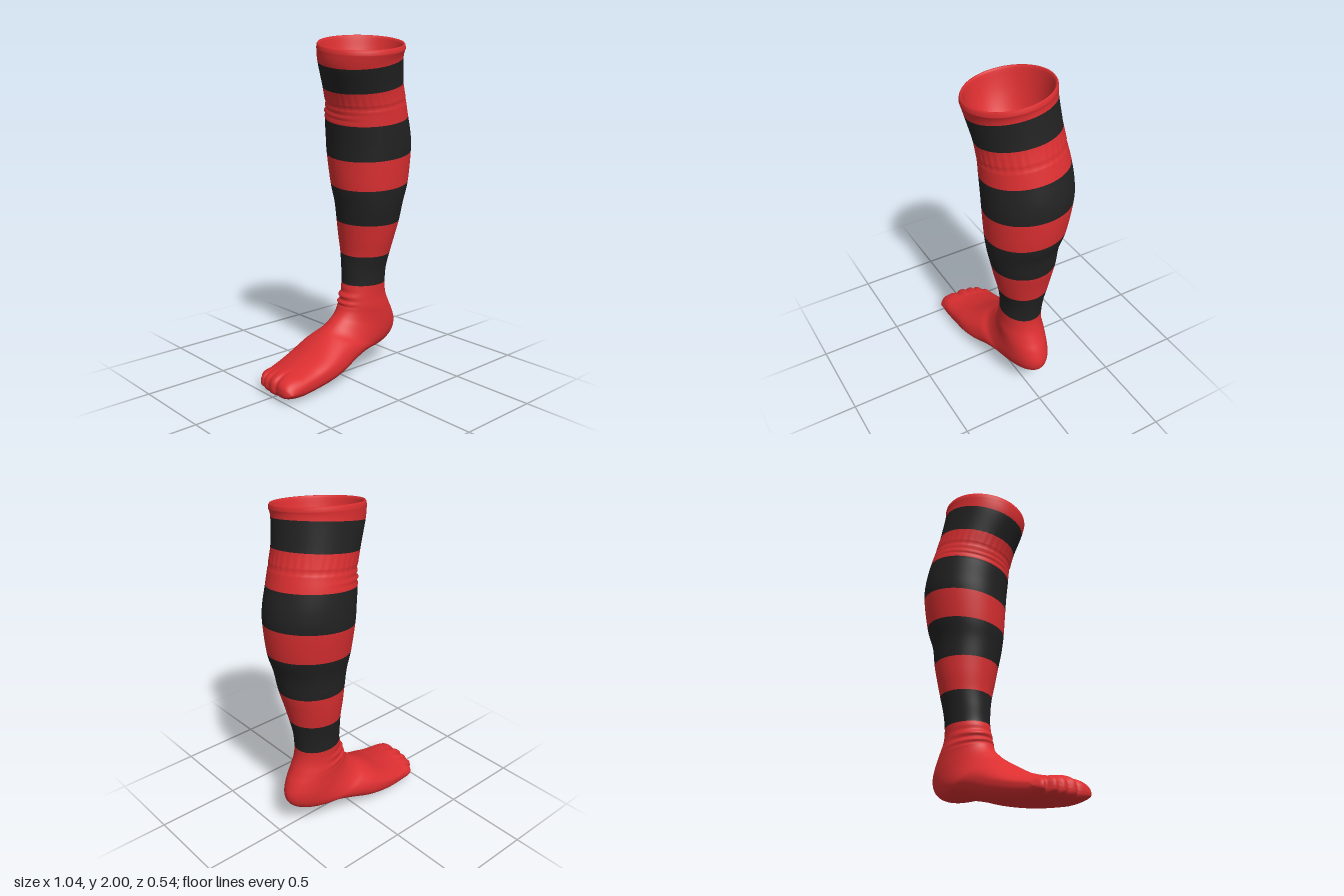
import * as THREE from 'three';

const SEGMENTS = 144, STEPS = 8, TAU = Math.PI * 2;

// Cross-sections: front x, y, back x, y, z min, z max, drop from -z to +z
const LEG = [
  [-0.118, 1.905, 0.405, 1.960, -0.215, 0.270, 0.075],
  [-0.106, 1.825, 0.403, 1.920, -0.215, 0.250, 0.080],
  [-0.050, 1.685, 0.425, 1.768, -0.230, 0.225, 0.060],
  [-0.020, 1.590, 0.455, 1.660, -0.243, 0.220, 0.060],
  [-0.013, 1.505, 0.480, 1.570, -0.260, 0.220, 0.060],
  [-0.002, 1.400, 0.508, 1.460, -0.270, 0.220, 0.055],
  [0.005, 1.300, 0.515, 1.360, -0.268, 0.217, 0.045],
  [0.020, 1.130, 0.495, 1.175, -0.240, 0.205, 0.040],
  [0.040, 1.020, 0.457, 1.050, -0.212, 0.190, 0.030],
  [0.055, 0.918, 0.437, 0.925, -0.200, 0.168, 0.015],
  [0.068, 0.820, 0.410, 0.820, -0.188, 0.145, 0.015],
  [0.080, 0.720, 0.388, 0.725, -0.170, 0.120, 0.010],
  [0.080, 0.630, 0.368, 0.630, -0.152, 0.100, 0.005],
  [0.078, 0.540, 0.360, 0.535, -0.142, 0.095, 0],
];
const FOOT = [
  [0.058, 0.470, 0.370, 0.460, -0.142, 0.095, 0],
  [0.045, 0.420, 0.400, 0.390, -0.150, 0.100, 0],
  [0.030, 0.385, 0.435, 0.325, -0.152, 0.100, 0],
  [0.005, 0.355, 0.457, 0.255, -0.155, 0.100, 0],
  [-0.020, 0.335, 0.443, 0.195, -0.158, 0.102, 0],
  [-0.050, 0.310, 0.390, 0.150, -0.165, 0.105, 0],
  [-0.080, 0.290, 0.310, 0.125, -0.175, 0.110, 0],
  [-0.110, 0.270, 0.200, 0.120, -0.190, 0.125, 0],
  [-0.150, 0.245, 0.080, 0.092, -0.205, 0.140, 0],
  [-0.200, 0.215, -0.030, 0.057, -0.212, 0.158, 0],
  [-0.250, 0.190, -0.150, 0.030, -0.208, 0.168, 0],
  [-0.320, 0.165, -0.270, 0.012, -0.195, 0.168, 0],
  [-0.390, 0.147, -0.385, 0.002, -0.178, 0.170, 0],
];
const KEYS = [...LEG, ...FOOT];
// Key sections where the knitted colour changes
const STRIPES = [1, 2, 4, 6, 7, 9, 11, 13];
// Rolled lip and inner bowl: scale of the top section, height above it
const LINING = [
  [0, -0.24], [0.2, -0.24], [0.4, -0.238], [0.58, -0.215], [0.74, -0.15], [0.85, -0.07],
  [0.91, -0.01], [0.925, 0.012], [0.945, 0.023], [0.97, 0.026], [0.99, 0.018],
];
// Toes: centre z, half width, forward reach
const TOES = [
  [0.10, 0.065, 0.52], [0.01, 0.035, 0.52], [-0.05, 0.030, 0.512],
  [-0.10, 0.026, 0.50], [-0.145, 0.026, 0.46],
];

const bump = (v, lo, hi) => (v <= lo || v >= hi ? 0 : Math.sin(Math.PI * (v - lo) / (hi - lo)));
const power = (v, e) => Math.sign(v) * Math.abs(v) ** e;

// Smooth interpolation between the key sections
function sectionAt(t) {
  const i = Math.min(Math.floor(t), KEYS.length - 2), f = t - i;
  const k = (n) => KEYS[Math.max(0, Math.min(KEYS.length - 1, n))];
  return KEYS[0].map((_, c) => {
    const [a, b, d, e] = [k(i - 1)[c], k(i)[c], k(i + 1)[c], k(i + 2)[c]];
    return b + 0.5 * f * (d - a + f * (2 * a - 5 * b + 4 * d - e + f * (3 * (b - d) + e - a)));
  });
}

// One closed ring of points around the sock
function ring(t) {
  const [fx, fy, bx, by, z0, z1, tilt] = sectionAt(t);
  const foot = THREE.MathUtils.smoothstep(t, 19, 25);
  const e = 2 / (2 + 0.6 * foot);
  return Array.from({ length: SEGMENTS }, (_, j) => {
    const a = (j / SEGMENTS) * TAU;
    let u = power(Math.cos(a), e), w = power(Math.sin(a), e);
    // Vertical ribbing, the seam under it, and creases at knee and ankle
    const side = Math.max(0, Math.cos(a + 0.5)) ** 2;
    const swell = 0.007 * bump(t, 1.9, 3.1) * Math.cos(36 * a)
      - 0.02 * bump(t, 2.75, 3.0)
      + 0.03 * side * bump(t, 3, 4) * Math.sin((t - 3) * TAU * 2.5)
      + 0.055 * side * bump(t, 13, 15.6) * Math.sin((t - 13) * TAU * 1.25);
    u *= 1 + swell;
    w *= 1 + swell;
    const y = (fy + by) / 2 + (fy - by) / 2 * u - tilt / 2 * w
      - 0.03 * foot * Math.max(0, -w) * Math.max(0, u);
    return [(fx + bx) / 2 + (fx - bx) / 2 * u, y, (z0 + z1) / 2 + (z1 - z0) / 2 * w];
  });
}

function toeTip(z) {
  return -Math.max(...TOES.map(([c, w, reach]) => reach - 0.025 * Math.abs((z - c) / w) ** 3));
}

function toeGap(z) {
  return Math.min(1, Math.min(...TOES.map(([c, w]) => Math.abs((z - c) / w))) ** 3);
}

// All rings, from inside the cuff down to the toe tips
function buildRows() {
  const rows = [], top = ring(0);
  const centre = [0, 1, 2].map((c) => top.reduce((s, p) => s + p[c], 0) / SEGMENTS);
  for (const [s, dy] of LINING) {
    rows.push(top.map((p) => p.map((v, c) => centre[c] + (v - centre[c]) * s + (c === 1 ? dy : 0))));
  }
  const last = KEYS.length - 1;
  for (let i = 0; i <= last * STEPS; i++) rows.push(ring(i / STEPS));
  const base = ring(last);
  for (let s = 1; s <= 12; s++) {
    const a = Math.sin((s / 12) * Math.PI / 2);
    const h = Math.max(0, Math.cos((s / 12) * Math.PI / 2)) ** 0.7;
    rows.push(base.map(([x, y, z]) => {
      const groove = y > 0.07 ? 0.02 * a * h * toeGap(z) : 0;
      return [x + (toeTip(z) - x) * a, 0.062 + (y - 0.062) * h - groove, z];
    }));
  }
  return rows;
}

export function createModel() {
  const group = new THREE.Group();
  const red = new THREE.MeshStandardMaterial({ color: 0xdc2f31 });
  red.name = 'red wool';
  const black = new THREE.MeshStandardMaterial({ color: 0x222222 });
  black.name = 'black wool';

  const rows = buildRows();
  const positions = rows.flat(2);
  const quads = (from, to) => {
    const index = [];
    for (let i = from; i < to; i++) {
      for (let j = 0; j < SEGMENTS; j++) {
        const k = (j + 1) % SEGMENTS;
        const a = i * SEGMENTS + j, b = i * SEGMENTS + k;
        index.push(a, a + SEGMENTS, b, b, a + SEGMENTS, b + SEGMENTS);
      }
    }
    return index;
  };

  // Shared smooth normals so the bands join without a crease
  const whole = new THREE.BufferGeometry();
  whole.setAttribute('position', new THREE.Float32BufferAttribute(positions, 3));
  whole.setIndex(quads(0, rows.length - 1));
  whole.computeVertexNormals();
  const normals = whole.attributes.normal.array;

  // Cut the surface into coloured bands
  const names = ['cuff', 'topStripe', 'kneeBand', 'calfStripe', 'calfBand',
    'shinStripe', 'shinBand', 'ankleStripe', 'foot'];
  const cuts = [0, ...STRIPES.map((k) => LINING.length + k * STEPS), rows.length - 1];
  names.forEach((name, n) => {
    const from = cuts[n], to = cuts[n + 1];
    const lo = from * SEGMENTS * 3, hi = (to + 1) * SEGMENTS * 3;
    const geometry = new THREE.BufferGeometry();
    geometry.setAttribute('position', new THREE.Float32BufferAttribute(positions.slice(lo, hi), 3));
    geometry.setAttribute('normal', new THREE.Float32BufferAttribute(normals.slice(lo, hi), 3));
    geometry.setIndex(quads(0, to - from));
    const mesh = new THREE.Mesh(geometry, n % 2 ? black : red);
    mesh.name = name;
    group.add(mesh);
  });
  return group;
}
